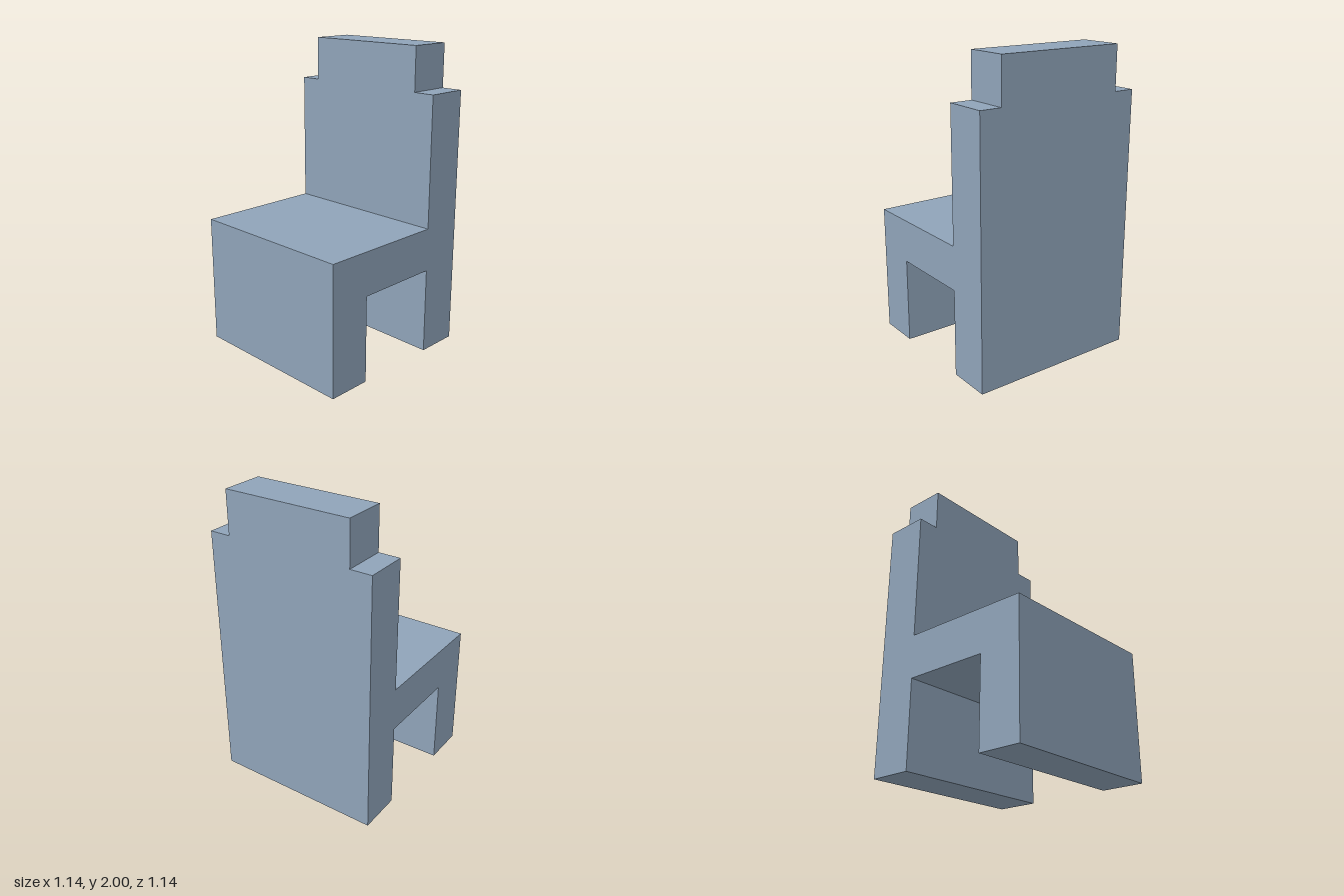
import * as THREE from 'three';

const U = 2 / 7; // block size: the chair is 7 blocks tall, 4 wide, 4 deep

export function createModel() {
  const model = new THREE.Group();
  model.name = 'chair';
  const blueGrey = new THREE.MeshStandardMaterial({ color: 0x8fa3b8 });
  blueGrey.name = 'blueGrey';

  // Legs, seat and backrest: one profile swept across the full depth
  const profile = [
    [-2, 0], [-1, 0], [-1, 2], [1, 2], [1, 0],
    [2, 0], [2, 6], [1, 6], [1, 3], [-2, 3],
  ].map(([x, y]) => new THREE.Vector2(x * U, y * U));
  const frameGeometry = new THREE.ExtrudeGeometry(new THREE.Shape(profile), {
    depth: 4 * U,
    bevelEnabled: false,
  });
  frameGeometry.translate(0, 0, -2 * U);
  const frame = new THREE.Mesh(frameGeometry, blueGrey);
  frame.name = 'seatFrame';
  model.add(frame);

  // Narrower block on top of the backrest
  const crest = new THREE.Mesh(new THREE.BoxGeometry(U, U, 3 * U), blueGrey);
  crest.name = 'backrestCrest';
  crest.position.set(1.5 * U, 6.5 * U, 0);
  model.add(crest);

  return model;
}
